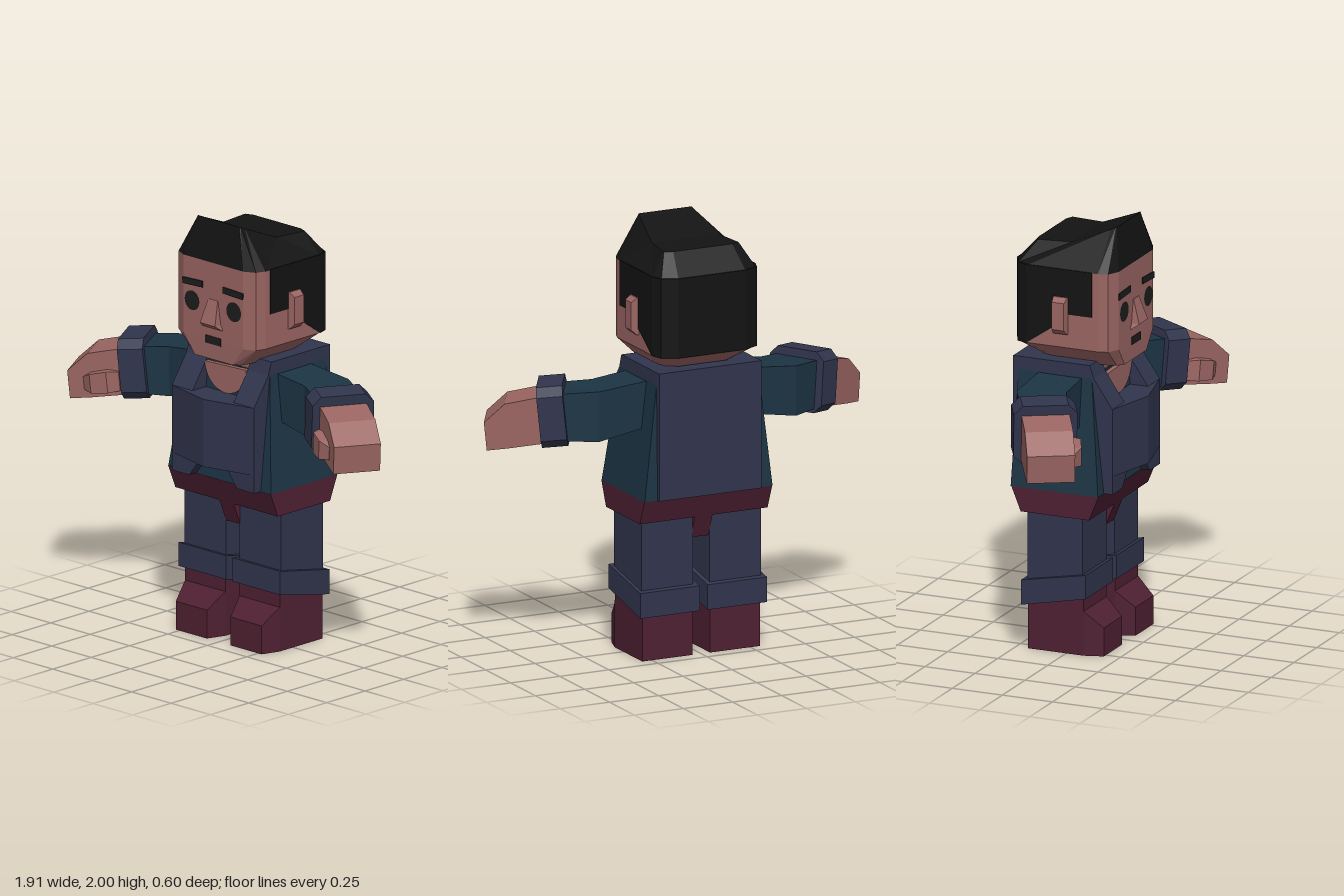
import * as THREE from 'three';

const SKIN = 0x9a6562, HAIR = 0x131313, TEAL = 0x1c3444, NAVY = 0x31354d, MAROON = 0x4f2032, INK = 0x1d1d1d;
const mats = {};
const mat = (c) => (mats[c] ??= new THREE.MeshStandardMaterial({ color: c, flatShading: true }));

// Rectangular cross-sections across each axis
const ringY = (y, x0, x1, z0, z1) => [[x0, y, z0], [x1, y, z0], [x1, y, z1], [x0, y, z1]];
const ringZ = (z, x0, x1, y0, y1) => [[x0, y0, z], [x1, y0, z], [x1, y1, z], [x0, y1, z]];
const ringX = (x, y0, y1, z0, z1) => [[x, y0, z0], [x, y1, z0], [x, y1, z1], [x, y0, z1]];
// Symmetric ring from its +x half, listed front to back
const symmetric = (half) => [...half, ...half.slice().reverse().map(([x, y, z]) => [-x, y, z])];
// Octagonal section across x
const octX = (x, h, w, c) => [[x, h, c - w], [x, h, w - c], [x, h - c, w], [x, c - h, w],
  [x, -h, w - c], [x, -h, c - w], [x, c - h, -w], [x, h - c, -w]];

// Closed solid through even-sided rings; side = -1 mirrors it across x
function loft(rings, side = 1, matrix = null) {
  const R = rings.map((r) => r.map((p) => {
    const v = new THREE.Vector3(...p);
    if (matrix) v.applyMatrix4(matrix);
    v.x *= side;
    return v;
  }));
  const n = R[0].length, tris = [];
  const quad = (a, b, c, d) => tris.push([a, b, c], [a, c, d]);
  for (let i = 0; i < R.length - 1; i++)
    for (let j = 0; j < n; j++) {
      const k = (j + 1) % n;
      quad(R[i][j], R[i][k], R[i + 1][k], R[i + 1][j]);
    }
  const A = R[0], B = R[R.length - 1];
  for (let i = 0; i < n / 2 - 1; i++) {
    quad(A[n - 1 - i], A[n - 2 - i], A[i + 1], A[i]);
    quad(B[i], B[i + 1], B[n - 2 - i], B[n - 1 - i]);
  }
  // Turn the faces outward
  const c = A[0], d = new THREE.Vector3();
  let vol = 0;
  for (const [p, q, r] of tris)
    vol += p.clone().sub(c).dot(d.crossVectors(q.clone().sub(c), r.clone().sub(c)));
  const pts = tris.flatMap((t) => (vol < 0 ? [t[0], t[2], t[1]] : t));
  const g = new THREE.BufferGeometry().setFromPoints(pts);
  g.computeVertexNormals();
  return g;
}

export function createModel() {
  const model = new THREE.Group();
  const add = (name, color, geo) => {
    const m = new THREE.Mesh(geo, mat(color));
    m.name = name;
    model.add(m);
    return m;
  };
  const box = (x0, x1, y0, y1, z0, z1, s) => loft([ringY(y0, x0, x1, z0, z1), ringY(y1, x0, x1, z0, z1)], s);

  // Head with bevelled corners and tapered jaw
  const skull = (y) => symmetric([[0.19, y, 0.212], [0.245, y, 0.185], [0.26, y, 0.14],
    [0.26, y, -0.21], [0.24, y, -0.265], [0.17, y, -0.298]]);
  const jaw = symmetric([[0.12, 1.35, 0.21], [0.15, 1.35, 0.185], [0.165, 1.35, 0.14],
    [0.165, 1.35, -0.1], [0.15, 1.35, -0.14], [0.12, 1.35, -0.16]]);
  add('head', SKIN, loft([jaw, skull(1.44), skull(1.81)]));

  // Hair: swept crown and cropped sides
  const crown = symmetric([[0.13, 2.0, 0.176], [0.135, 2.0, 0.172], [0.14, 1.99, 0.15],
    [0.17, 1.916, -0.03], [0.19, 1.914, -0.19], [0.15, 1.914, -0.205]]);
  add('hairTop', HAIR, loft([skull(1.81), crown]));
  add('hairSides', HAIR, loft([
    [0.11, 0.264, 1.6], [-0.03, 0.264, 1.6], [-0.07, 0.264, 1.54], [-0.215, 0.264, 1.44],
    [-0.268, 0.244, 1.438], [-0.302, 0.172, 1.438],
  ].map(([z, x, y]) => ringZ(z, -x, x, y, 1.812))));

  // Face
  add('nose', SKIN, loft([ringY(1.635, -0.03, 0.03, 0.2, 0.214),
    ringY(1.525, -0.048, 0.048, 0.2, 0.25), ringY(1.5, -0.062, 0.062, 0.2, 0.216)]));
  add('mouth', INK, box(-0.05, 0.05, 1.423, 1.46, 0.2, 0.215));

  // Neck and round neckline
  add('neck', SKIN, box(-0.13, 0.13, 1.25, 1.37, -0.13, 0.1));
  const neckline = new THREE.Shape();
  neckline.moveTo(-0.13, 1.31);
  neckline.absellipse(0, 1.3, 0.13, 0.125, Math.PI, Math.PI * 2, false);
  neckline.lineTo(0.13, 1.31);
  add('neckline', SKIN, new THREE.ExtrudeGeometry(neckline, { depth: 0.1, bevelEnabled: false, curveSegments: 10 }))
    .position.z = 0.033;

  // Shirt, overalls bib and back panel
  add('shirt', TEAL, loft([ringY(0.77, -0.325, 0.325, -0.265, 0.17), ringY(1.31, -0.26, 0.26, -0.255, 0.11)]));
  const bib = (y) => symmetric([[0.001, y, 0.275], [0.26, y, 0.213], [0.26, y, 0.1], [0.1, y, 0.1]]);
  add('bib', NAVY, loft([bib(0.855), bib(1.175)]));
  add('backPanel', NAVY, box(-0.26, 0.26, 0.77, 1.37, -0.282, -0.2));

  // Hips
  add('hips', MAROON, loft([ringY(0.655, -0.325, 0.325, -0.215, 0.125), ringY(0.77, -0.325, 0.325, -0.262, 0.172)]));
  add('crotch', MAROON, loft([ringY(0.55, -0.045, 0.045, -0.175, 0.083), ringY(0.66, -0.045, 0.045, -0.217, 0.127)]));

  // Forearm frame: x runs along the hand
  const wrist = new THREE.Matrix4().makeRotationFromEuler(new THREE.Euler(0, -0.53, -0.1))
    .setPosition(0.634, 1.165, 0.042);

  for (const [s, side] of [[1, 'left'], [-1, 'right']]) {
    const part = (name, color, rings, m) => add(side + name, color, loft(rings, s, m));

    // Eye, brow and ear
    const eye = add(side + 'Eye', INK, new THREE.CircleGeometry(0.047, 16));
    eye.position.set(s * 0.132, 1.605, 0.2145);
    const brow = add(side + 'Brow', INK, new THREE.BoxGeometry(0.125, 0.03, 0.02));
    brow.position.set(s * 0.128, 1.693, 0.208);
    brow.rotation.z = s * -0.04;
    part('Ear', SKIN, [ringX(0.25, 1.505, 1.68, -0.078, -0.008), ringX(0.27, 1.505, 1.68, -0.078, -0.008),
      ringX(0.297, 1.53, 1.66, -0.073, -0.013)]);

    // Shoulder strap and lower bib flank
    const strap = (x) => [[0.213, 1.175], [0.12, 1.31], [0.1, 1.37], [-0.21, 1.37],
      [-0.21, 1.28], [0.04, 1.28], [0.05, 1.26], [0.1, 1.17]].map(([z, y]) => [x, y, z]);
    part('Strap', NAVY, [strap(0.13), strap(0.26)]);
    part('BibFlank', NAVY, [ringY(0.77, 0.15, 0.26, 0.1, 0.213), ringY(0.856, 0.085, 0.26, 0.1, 0.213)]);

    // Bent sleeve: shoulder, elbow, wrist
    const slice = (xb, zb, xf, zf, y0, y1) => [[xb, y0, zb], [xb, y1, zb], [xf, y1, zf], [xf, y0, zf]];
    part('Sleeve', TEAL, [slice(0.2, -0.155, 0.2, 0.06, 1.1, 1.312),
      slice(0.5, -0.155, 0.43, 0.06, 1.05, 1.285), slice(0.69, -0.053, 0.58, 0.137, 1.05, 1.27)]);
    part('SleeveCuff', NAVY, [octX(-0.06, 0.142, 0.145, 0.04), octX(0.06, 0.142, 0.145, 0.04)], wrist);

    // Hand and thumb
    part('Hand', SKIN, [ringX(0.02, -0.12, 0.1, -0.11, 0.11), ringX(0.21, -0.13, 0.078, -0.11, 0.11),
      ringX(0.312, -0.132, 0.0, -0.11, 0.11)], wrist);
    part('Thumb', SKIN, [ringX(0.07, -0.1, -0.01, 0.09, 0.12), ringX(0.12, -0.1, 0.0, 0.09, 0.155),
      ringX(0.2, -0.1, -0.01, 0.09, 0.15), ringX(0.24, -0.09, -0.03, 0.09, 0.112)], wrist);

    // Trouser leg with slanted turn-up
    part('Leg', NAVY, [ringY(0.28, 0.043, 0.305, -0.19, 0.085), ringY(0.67, 0.043, 0.305, -0.19, 0.085)]);
    const slant = (front, back) => [[0.02, back, -0.215], [0.322, back, -0.215], [0.322, front, 0.107], [0.02, front, 0.107]];
    part('TurnUp', NAVY, [slant(0.277, 0.21), slant(0.39, 0.328)]);

    // Boot
    part('Boot', MAROON, [ringZ(-0.19, 0.045, 0.3, 0, 0.3), ringZ(0.086, 0.045, 0.3, 0, 0.3),
      ringZ(0.087, 0.045, 0.3, 0, 0.21), ringZ(0.176, 0.075, 0.272, 0, 0.135)]);
  }
  return model;
}
